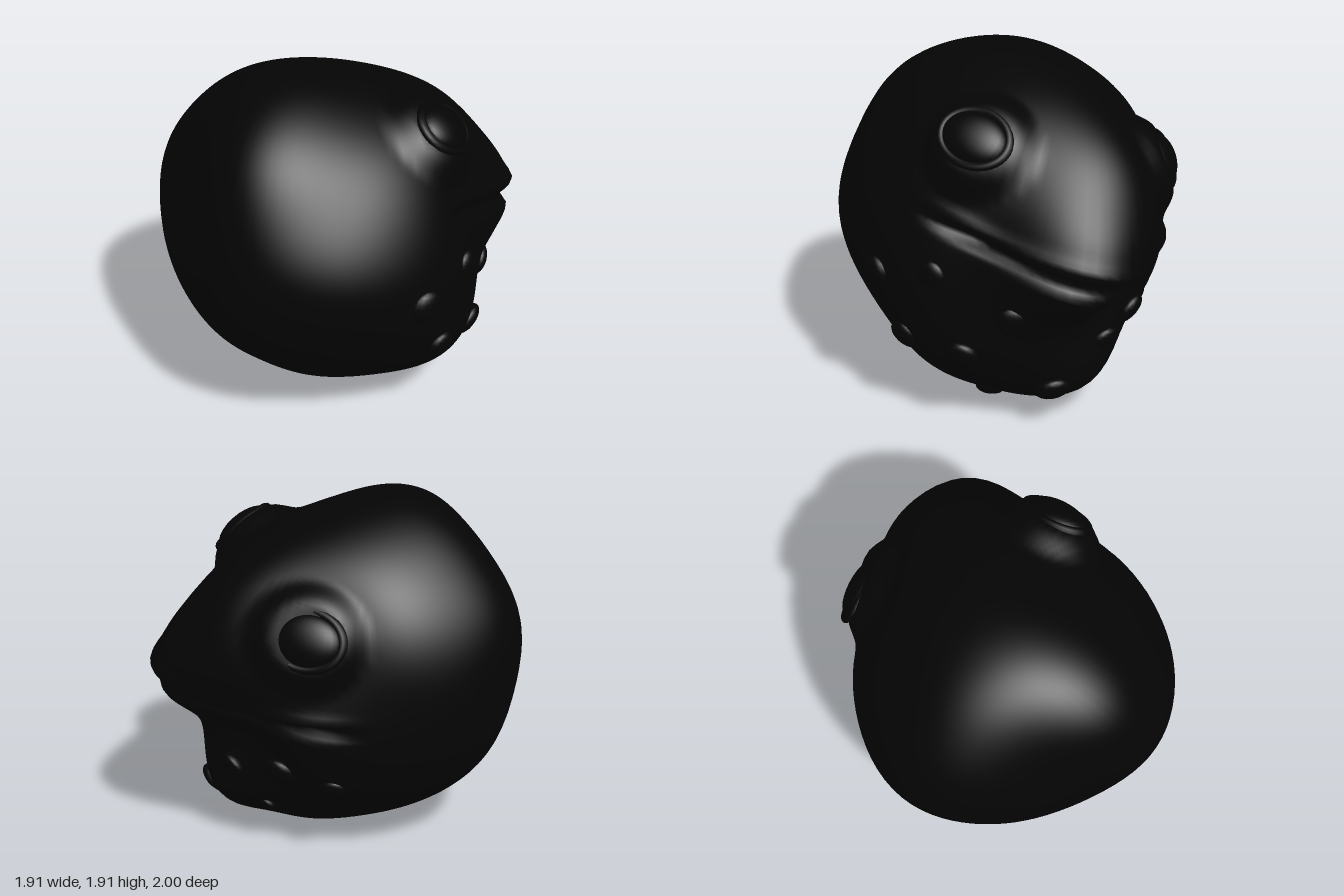
import * as THREE from 'three';
import { mergeVertices } from 'three/addons/utils/BufferGeometryUtils.js';

const V = (x, y, z) => new THREE.Vector3(x, y, z);
const dark = new THREE.MeshStandardMaterial({ color: 0x040404 });
const CENTER = V(0, 0.95, 0);

// Head frame: the head is turned and rolled, with the mouth lying level in it.
const UP = V(-0.15, 0.96, -0.24).normalize();
const FRONT = V(0.54, 0, -0.84).projectOnPlane(UP).normalize();
const SIDE = UP.clone().cross(FRONT).normalize();
const HEAD = new THREE.Matrix4().makeBasis(SIDE, UP, FRONT);

// Points the skin passes through, by region.
const REGIONS = {
  crown: [[-0.12, 1.9, 0.15], [-0.55, 1.75, 0.2], [0.27, 1.8, 0.1], [-0.1, 1.86, 0.44]],
  brow: [[0, 1.79, -0.35], [0.25, 1.56, -0.75], [0.45, 1.22, -0.95], [-0.6, 1.5, -0.4],
    [-0.2, 1.28, -0.75], [0.74, 1.33, -0.5]],
  upperLip: [[0.12, 1.07, -0.95], [0.57, 1.03, -0.975], [0.79, 1.1, -0.8], [0.83, 1.15, -0.3]],
  throat: [[0.52, 0.8, -0.86], [0.4, 0.63, -0.7], [0.81, 0.68, -0.41], [-0.28, 0.48, -0.7],
    [0.15, 0.6, -0.74]],
  belly: [[0.22, 0.005, -0.34], [0.12, 0.03, -0.05], [0.3, 0.14, -0.6], [0.42, 0.4, -0.73],
    [0.68, 0.18, -0.2], [-0.46, 0.17, -0.15], [0.1, 0.08, 0.23], [0.08, 0.3, 0.6],
    [-0.52, 0.41, 0.48]],
  leftFlank: [[0.94, 0.67, 0.02], [0.85, 0.35, 0], [0.78, 1.38, 0.05], [0.82, 0.8, 0.48]],
  rightFlank: [[-0.955, 1, 0.08], [-0.92, 1.3, 0.15], [-0.85, 0.52, 0], [-0.91, 0.95, -0.18],
    [-0.7, 0.88, -0.5], [-0.47, 0.95, -0.69]],
  rear: [[0.08, 1.1, 1], [-0.08, 1.62, 0.8], [0.08, 0.56, 0.85], [0.53, 1, 0.84],
    [-0.38, 1.1, 0.8], [-0.74, 1.05, 0.54], [-0.37, 1.48, 0.7]],
};
const LANDMARKS = Object.values(REGIONS).flat().map(p => {
  const v = V(...p).sub(CENTER);
  return { radius: v.length(), dir: v.normalize(), height: 0 };
});

const EYES = [V(0.67, 0.68, -0.12), V(-0.2, 0.36, -0.77)].map(v => v.normalize());

const bell = (x, w) => Math.exp(-((x / w) ** 2));
const angle = (a, b) => Math.acos(THREE.MathUtils.clamp(a.dot(b), -1, 1));
const smooth = THREE.MathUtils.smoothstep;

// Smooth body: a ball plus one soft swelling per landmark.
const baseRadius = dir =>
  LANDMARKS.reduce((r, l) => r + l.height * bell(angle(dir, l.dir), 0.4), 0.91);

// Adjust the swellings until the skin meets the landmarks.
for (let pass = 0; pass < 150; pass++) {
  for (const l of LANDMARKS) l.height += l.radius - baseRadius(l.dir);
}

// Body with eye mounds and the mouth crease between two lips.
function skinRadius(dir) {
  let r = baseRadius(dir);
  for (const e of EYES) r += 0.09 * (1 - smooth(angle(dir, e), 0.18, 0.38));
  const turn = Math.abs(Math.atan2(dir.dot(SIDE), dir.dot(FRONT)));
  const mouth = 1 - smooth(turn, 0.8, 1.25);
  const latitude = Math.asin(THREE.MathUtils.clamp(dir.dot(UP), -1, 1));
  const aboveMouth = latitude - 0.085 - 0.04 * smooth(turn, 0.3, 1);
  r += mouth * 0.025 * bell(aboveMouth - 0.065, 0.05);
  r -= mouth * 0.07 * bell(aboveMouth, 0.04);
  return r;
}

const onSkin = (dir, lift = 0) => CENTER.clone().addScaledVector(dir, skinRadius(dir) + lift);

function makeBody() {
  const ball = new THREE.SphereGeometry(1, 100, 120);
  ball.deleteAttribute('uv');
  ball.deleteAttribute('normal');
  const geo = mergeVertices(ball, 1e-4);
  const pos = geo.attributes.position;
  for (let i = 0; i < pos.count; i++) {
    const dir = V(0, 0, 0).fromBufferAttribute(pos, i).applyMatrix4(HEAD).normalize();
    const p = onSkin(dir);
    pos.setXYZ(i, p.x, p.y, p.z);
  }
  geo.computeVertexNormals();
  const body = new THREE.Mesh(geo, dark);
  body.name = 'body';
  return body;
}

// Eyeball in a low lid ring, facing outward from its mound.
function makeEye(dir, name) {
  const eye = new THREE.Group();
  eye.name = name;
  const ball = new THREE.Mesh(new THREE.SphereGeometry(1, 28, 18), dark);
  ball.scale.set(0.185, 0.14, 0.075);
  ball.name = 'eyeball';
  const lid = new THREE.Mesh(new THREE.TorusGeometry(0.19, 0.028, 10, 36), dark);
  lid.scale.set(1, 0.8, 0.9);
  lid.name = 'eyelid';
  eye.add(ball, lid);
  eye.up.copy(UP);
  eye.position.copy(onSkin(dir, -0.02));
  eye.lookAt(eye.position.clone().add(dir));
  return eye;
}

// Warts on throat and belly: x, y, z direction from the centre, radius.
const WARTS = [
  [0.86, -0.11, 0.4, 0.1], [0.9, -0.02, 0.02, 0.08], [0.83, -0.25, -0.41, 0.09],
  [0.86, -0.45, 0.22, 0.095], [0.87, -0.48, -0.13, 0.1], [0.58, -0.68, -0.52, 0.1],
  [0.62, -0.79, -0.17, 0.08], [0.36, -0.51, -0.75, 0.09], [0.18, -0.72, -0.64, 0.06],
  [0.03, -0.48, -0.79, 0.1], [-0.28, -0.55, -0.7, 0.08],
];

function makeWarts() {
  const warts = new THREE.Group();
  warts.name = 'warts';
  const geo = new THREE.SphereGeometry(1, 16, 12);
  for (const [x, y, z, size] of WARTS) {
    const dir = V(x, y, z).normalize();
    const wart = new THREE.Mesh(geo, dark);
    wart.name = 'wart';
    wart.position.copy(onSkin(dir, -0.01));
    wart.lookAt(wart.position.clone().add(dir));
    wart.scale.set(size, size, size * 0.5);
    warts.add(wart);
  }
  return warts;
}

export function createModel() {
  const model = new THREE.Group();
  model.name = 'creature';
  model.add(makeBody(), makeEye(EYES[0], 'leftEye'), makeEye(EYES[1], 'rightEye'), makeWarts());
  return model;
}
